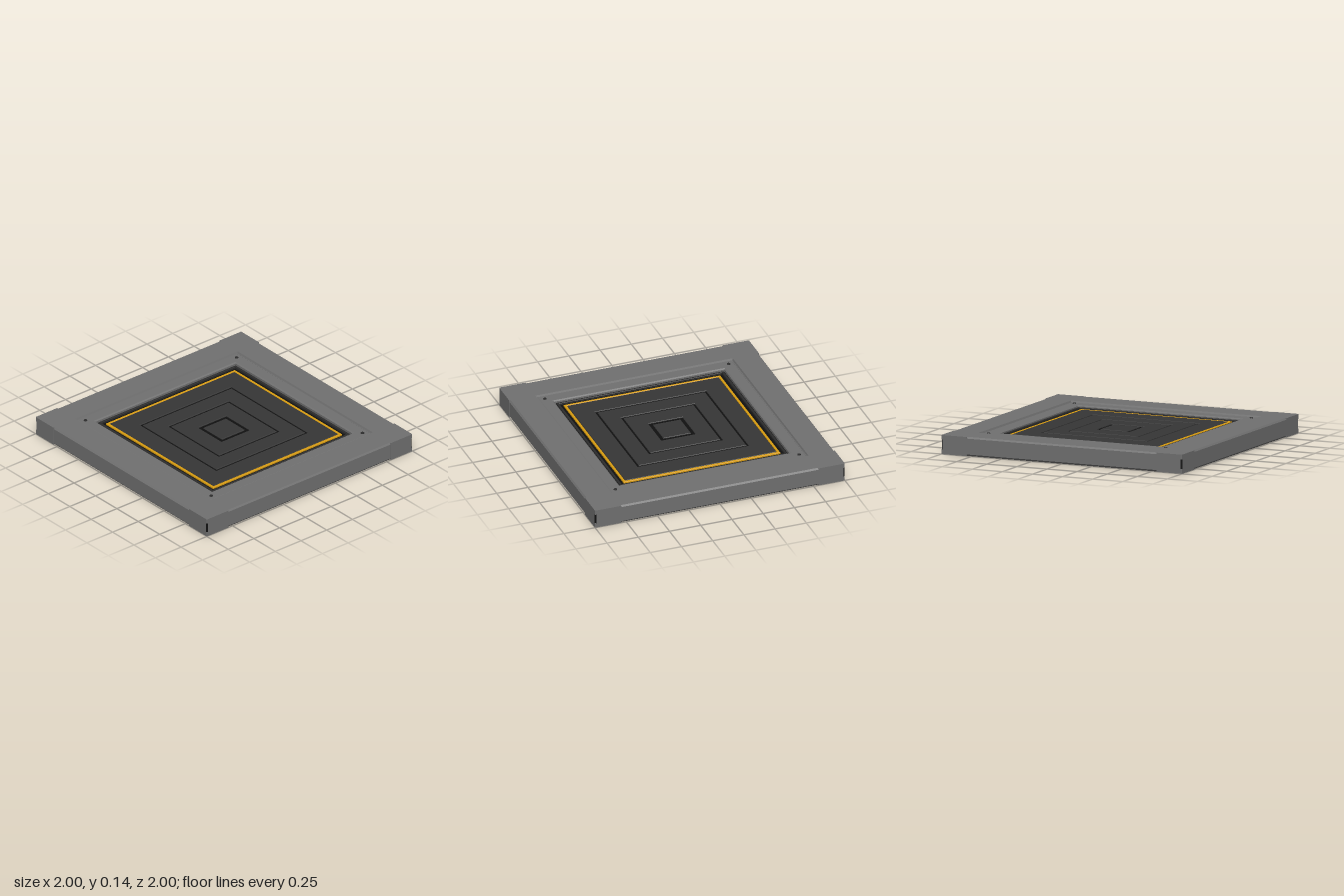
import * as THREE from 'three';

const HALF = 0.0725; // half the tile thickness
const material = (color) => new THREE.MeshStandardMaterial({ color, flatShading: true });

export function createModel() {
  const root = new THREE.Group();
  root.name = 'floorTile';
  const tile = new THREE.Group();
  tile.name = 'tile';
  tile.position.y = HALF;
  root.add(tile);

  const frameGrey = material(0x707070);
  const panelGrey = material(0x363636);
  const trimGrey = material(0x2c2c2c);
  const black = material(0x101010);
  const amber = material(0xd89c10);

  function add(name, geometry, mat, parent = tile) {
    const mesh = new THREE.Mesh(geometry, mat);
    mesh.name = name;
    parent.add(mesh);
    return mesh;
  }

  // Square ring: the upper half profile runs from outside to inside and is mirrored below
  function squareRing(name, upper, mat) {
    const loop = [...upper, ...upper.map(([r, y]) => [r, -y]).reverse(), upper[0]];
    const points = loop.map(([r, y]) => new THREE.Vector2(r * Math.SQRT2, y));
    const geometry = new THREE.LatheGeometry(points, 4, Math.PI / 4).toNonIndexed();
    geometry.computeVertexNormals();
    return add(name, geometry, mat);
  }

  // Plain ring with small bevels on both rims
  function bevelRing(name, outer, inner, h, mat, b = 0.003) {
    const rim = inner > 0 ? [[inner + b, h], [inner, h - b]] : [[0, h]];
    return squareRing(name, [[outer, h - b], [outer - b, h], ...rim], mat);
  }

  // Main frame with a recessed inner border
  squareRing('frame', [
    [0.985, HALF], [0.79, HALF], [0.784, 0.059], [0.778, 0.059], [0.774, 0.062],
    [0.692, 0.062], [0.682, 0.054], [0.682, 0.02],
  ], frameGrey);

  // Chamfered strips along the middle of each side, corner pieces between them
  const strip = new THREE.Shape([
    [0.985, -HALF], [0.988, -HALF], [0.998, -0.06], [0.998, 0.06], [0.988, HALF], [0.985, HALF],
  ].map(([x, y]) => new THREE.Vector2(x, y)));
  const stripGeometry = new THREE.ExtrudeGeometry(strip, { depth: 1.58, bevelEnabled: false });
  stripGeometry.translate(0, 0, -0.79);

  function cornerLayer(y0, y1, c) {
    const shape = new THREE.Shape([
      [0.79, 0.985], [0.985, 0.985], [0.985, 0.79], [1, 0.79],
      [1, 1 - c], [1 - c, 1], [0.79, 1],
    ].map(([x, y]) => new THREE.Vector2(x, y)));
    const geometry = new THREE.ExtrudeGeometry(shape, { depth: y1 - y0, bevelEnabled: false });
    geometry.rotateX(-Math.PI / 2);
    geometry.translate(0, y0, 0);
    return geometry;
  }
  const layers = [
    cornerLayer(-HALF, -0.037, 0.003),
    cornerLayer(-0.037, 0.037, 0.012),
    cornerLayer(0.037, HALF, 0.003),
  ];
  const bolt = new THREE.CylinderGeometry(0.013, 0.015, 0.008, 8);

  for (let i = 0; i < 4; i++) {
    const side = new THREE.Group();
    side.name = 'side' + (i + 1);
    side.rotation.y = i * Math.PI / 2;
    tile.add(side);
    add('edgeStrip', stripGeometry, frameGrey, side);
    layers.forEach((geometry) => add('cornerPiece', geometry, frameGrey, side));

    // Dark inlay in the corner notch
    const inlay = add('cornerInlay', new THREE.BoxGeometry(0.016, 0.074, 0.004), black, side);
    inlay.position.set(0.9935, 0, -0.9935);
    inlay.rotation.y = Math.PI * 0.75;

    // Bolts on the upper and lower borders
    for (const s of [1, -1]) {
      const head = add('bolt', bolt, trimGrey, side);
      head.position.set(0.735, s * 0.063, -0.735);
      if (s < 0) head.rotation.x = Math.PI;
    }
  }

  // Dark core visible in the channel and in the panel grooves
  add('core', new THREE.BoxGeometry(1.368, 0.066, 1.368), black);
  add('grooveFloor', new THREE.BoxGeometry(1.24, 0.076, 1.24), black);
  bevelRing('channelTrim', 0.67, 0.652, 0.05, trimGrey);
  bevelRing('amberBand', 0.627, 0.608, 0.046, amber);

  // Centre panel as nested squares separated by grooves
  for (const [outer, inner] of [[0.605, 0.446], [0.43, 0.296], [0.28, 0.138], [0.11, 0]]) {
    bevelRing('panelSquare', outer, inner, 0.046, panelGrey);
  }
  return root;
}
